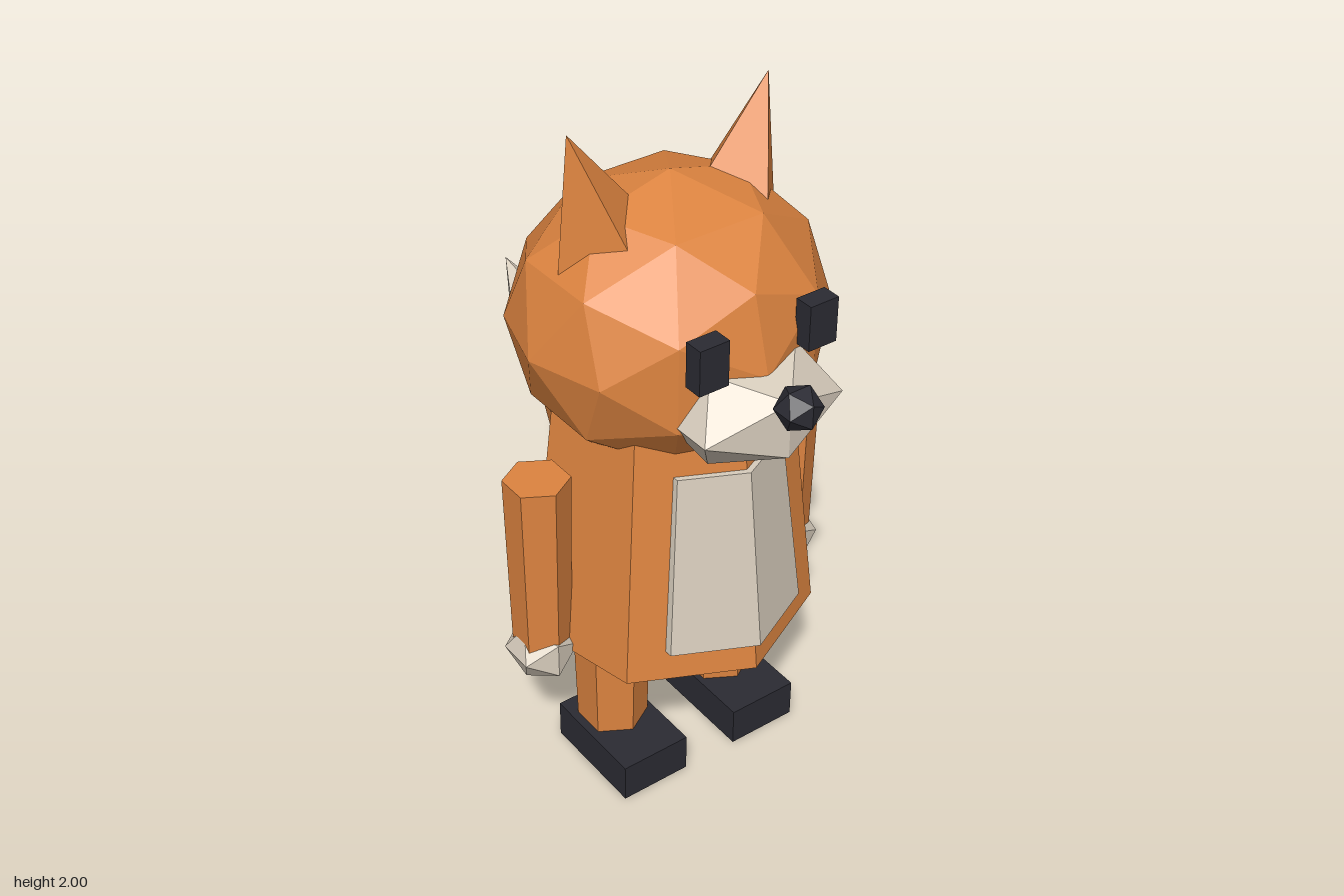
import * as THREE from 'three';

const flat = (name, color) => {
  const m = new THREE.MeshStandardMaterial({ color, flatShading: true });
  m.name = name;
  return m;
};

export function createModel() {
  const orange = flat('orange fur', 0xdd8440);
  const cream = flat('cream fur', 0xd8cdbd);
  const dark = flat('charcoal', 0x2b2b33);
  const model = new THREE.Group();
  model.name = 'fox';
  const Z = 0.107; // depth of the body axis

  const add = (name, geometry, material, x, y, z) => {
    const mesh = new THREE.Mesh(geometry, material);
    mesh.name = name;
    mesh.position.set(x, y, z);
    model.add(mesh);
    return mesh;
  };

  // Tapered seven-sided torso, top tucked into the head
  add('body', new THREE.CylinderGeometry(0.32, 0.41, 0.79, 7), orange, 0, 0.875, Z);

  // Folded belly panel that follows the two front faces of the torso
  const belly = new THREE.BoxGeometry(1, 1, 1, 2, 1, 1);
  const p = belly.attributes.position;
  for (let i = 0; i < p.count; i++) {
    const t = p.getY(i) + 0.5;
    const x = p.getX(i) * 2 * THREE.MathUtils.lerp(0.22, 0.172, t);
    const front = THREE.MathUtils.lerp(0.53, 0.463, t) - 0.482 * Math.abs(x);
    p.setXYZ(i, x, THREE.MathUtils.lerp(0.57, 1.105, t), front - (p.getZ(i) < 0 ? 0.03 : 0));
  }
  belly.computeVertexNormals();
  add('belly', belly, cream, 0, 0, 0);

  // Head, muzzle and nose
  add('head', new THREE.IcosahedronGeometry(1, 1), orange, 0, 1.42, Z).scale.set(0.43, 0.4, 0.408);
  add('muzzle', new THREE.IcosahedronGeometry(1, 0), cream, 0, 1.317, 0.453).scale.set(0.255, 0.155, 0.178);
  add('nose', new THREE.IcosahedronGeometry(0.063, 0), dark, 0, 1.4, 0.631);

  // Paired parts
  for (const [side, s] of [['left', 1], ['right', -1]]) {
    add(side + 'Eye', new THREE.BoxGeometry(0.088, 0.128, 0.055), dark, s * 0.168, 1.515, 0.488);

    // Ear: pyramid with its tip at the pivot, leaning outwards
    const ear = new THREE.ConeGeometry(0.16, 0.386, 4).translate(0, -0.193, 0);
    add(side + 'Ear', ear, orange, s * 0.302, 2, Z).rotation.z = -s * 0.3;

    add(side + 'Arm', new THREE.CylinderGeometry(0.09, 0.08, 0.57, 6), orange, s * 0.42, 0.77, Z);
    add(side + 'Hand', new THREE.IcosahedronGeometry(0.1, 0), cream, s * 0.424, 0.49, Z);
    add(side + 'Leg', new THREE.CylinderGeometry(0.112, 0.1, 0.45, 6), orange, s * 0.19, 0.325, Z);
    add(side + 'Foot', new THREE.BoxGeometry(0.215, 0.117, 0.328), dark, s * 0.193, 0.0585, 0.16);
  }

  // Tail cones, each with its tip at the pivot, swept up and back
  const tailCone = (name, r, h, material, y, z) => {
    const cone = new THREE.ConeGeometry(r, h, 5).translate(0, -h / 2, 0);
    add(name, cone, material, 0, y, z).rotation.x = -0.9;
  };
  tailCone('tail', 0.165, 0.7, orange, 1.1, -0.657);
  tailCone('tailTip', 0.092, 0.196, cream, 1.192, -0.685);

  return model;
}
